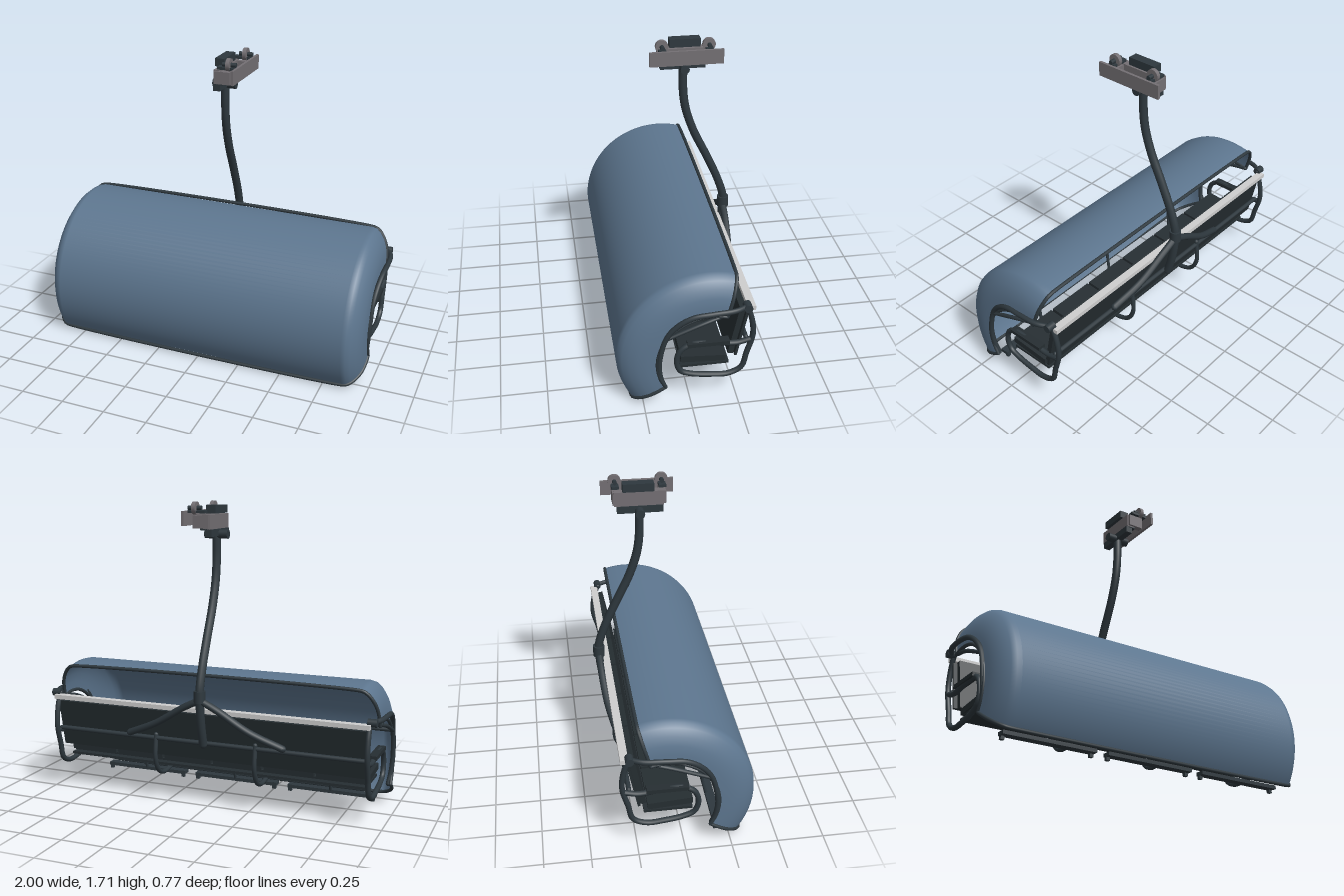
import * as THREE from 'three';

const mat = (name, color, side = THREE.FrontSide) => {
  const m = new THREE.MeshStandardMaterial({ color, side });
  m.name = name;
  return m;
};

export function createModel() {
  const root = new THREE.Group();
  root.name = 'chairlift';
  const blue = mat('bubble blue', 0x5d768f, THREE.DoubleSide);
  const steel = mat('dark steel', 0x2e383e);
  const pad = mat('seat black', 0x262e32);
  const grey = mat('grip grey', 0x747074);
  const light = mat('light trim', 0xcfcfcf);

  const add = (name, geo, m, parent = root) => {
    const mesh = new THREE.Mesh(geo, m);
    mesh.name = name;
    parent.add(mesh);
    return mesh;
  };
  const box = (name, size, pos, m, tilt = 0) => {
    const b = add(name, new THREE.BoxGeometry(...size), m);
    b.position.set(...pos);
    b.rotation.x = tilt;
    return b;
  };
  // Smooth round bar through points, with capped ends
  const tube = (name, pts, r, m = steel, closed = false) => {
    const v = pts.map(p => new THREE.Vector3(...p));
    const curve = new THREE.CatmullRomCurve3(v, closed, 'centripetal');
    const t = add(name, new THREE.TubeGeometry(curve, pts.length * 8, r, 10, closed), m);
    if (!closed) for (const p of [v[0], v[v.length - 1]]) {
      add(name + 'End', new THREE.SphereGeometry(r, 10, 6), m).position.copy(p);
    }
    return t;
  };
  const rod = (name, r, len, pos, m = steel, axis = 'x') => {
    const g = new THREE.CylinderGeometry(r, r, len, 20);
    if (axis === 'x') g.rotateZ(Math.PI / 2);
    if (axis === 'z') g.rotateX(Math.PI / 2);
    add(name, g, m).position.set(...pos);
  };
  // Side-on path given as [z, y] placed at one x
  const at = (x, path) => path.map(([z, y]) => [x, y, z]);

  // Bubble: partial revolve about a sideways axis
  const cy = 0.28, cz = -0.1, top = 106.6 * Math.PI / 180, bottom = -32.4 * Math.PI / 180;
  const half = [[0.28, 0.96], [0.33, 0.958], [0.38, 0.95], [0.425, 0.932], [0.46, 0.908], [0.479, 0.885], [0.485, 0.86]];
  const profile = [...half.map(([r, x]) => [r, -x]), ...half.slice().reverse()];
  const shell = new THREE.LatheGeometry(profile.map(([r, x]) => new THREE.Vector2(r, x)), 48, -top, top - bottom);
  shell.rotateZ(-Math.PI / 2);
  add('bubble', shell, blue).position.set(0, cy, cz);

  // Dark trim around the bubble edges
  const polar = (r, x, a) => [x, cy + r * Math.sin(a), cz + r * Math.cos(a)];
  for (const a of [top, bottom]) {
    tube('bubbleEdgeTrim', profile.map(([r, x]) => polar(r, x, a)), 0.01);
  }
  for (const s of [-1, 1]) {
    const arc = [];
    for (let i = 0; i <= 12; i++) arc.push(polar(0.28, s * 0.96, top + (bottom - top) * i / 12));
    tube('bubbleSideTrim', arc, 0.01);
  }

  // Six seat places
  for (let i = 0; i < 6; i++) {
    const x = (i - 2.5) * 0.305;
    box('seatPad', [0.29, 0.035, 0.24], [x, 0.25, -0.07], pad, -0.07);
    box('backrestPad', [0.29, 0.29, 0.03], [x, 0.41, -0.243], pad, -0.2);
  }
  box('seatBase', [1.8, 0.014, 0.26], [0, 0.205, -0.08], pad);
  box('seatPan', [1.8, 0.012, 0.22], [0, 0.23, -0.07], pad, -0.07);
  box('backrestBoard', [1.86, 0.28, 0.014], [0, 0.408, -0.265], pad, -0.2);
  box('backrestTopStrip', [1.88, 0.025, 0.042], [0, 0.572, -0.311], light);
  tube('backRail', [[-0.92, 0.38, -0.29], [0.92, 0.38, -0.29]], 0.013);

  for (const s of [-1, 1]) {
    // Side loop that carries seat, armrest and backrest
    tube('sideFrame', at(s * 0.93, [[-0.31, 0.37], [-0.24, 0.355], [-0.1, 0.37], [0, 0.37], [0.055, 0.335],
      [0.075, 0.27], [0.055, 0.205], [0, 0.178], [-0.1, 0.16], [-0.2, 0.155], [-0.27, 0.19],
      [-0.295, 0.28], [-0.325, 0.4], [-0.315, 0.5], [-0.285, 0.59]]), 0.015);
    box('armrest', [0.045, 0.022, 0.22], [s * 0.93, 0.375, -0.09], pad);
    // Under-seat support
    tube('seatSupport', at(s * 0.3, [[-0.29, 0.4], [-0.3, 0.26], [-0.265, 0.185], [-0.2, 0.153],
      [-0.1, 0.16], [0.03, 0.19]]), 0.013);
    // Splayed brace from the hanger
    tube('hangerBrace', [[0, 0.64, -0.355], [s * 0.1, 0.59, -0.352], [s * 0.28, 0.48, -0.335],
      [s * 0.46, 0.4, -0.3]], 0.02);
    // Swinging arm of the bubble and restraint bar
    tube('bubbleArm', [[s * 0.94, 0.59, -0.29], [s * 0.975, 0.592, -0.22], [s * 0.985, 0.59, -0.1],
      [s * 0.98, 0.575, 0], [s * 0.972, 0.525, 0.08], [s * 0.965, 0.45, 0.135],
      [s * 0.962, 0.3, 0.17], [s * 0.955, 0.2, 0.165], [s * 0.945, 0.13, 0.145]], 0.014);
    tube('bubbleArmBrace', [[s * 0.95, 0.555, -0.18], [s * 0.965, 0.52, -0.05], [s * 0.965, 0.45, 0.125]], 0.011);
    rod('armPivot', 0.022, 0.05, [s * 0.945, 0.59, -0.287]);
  }

  // Restraint bar with hanging ribs and footrests
  tube('restraintBar', [[-0.96, 0.45, 0.13], [0.96, 0.45, 0.13]], 0.012);
  for (const x of [-0.6, 0, 0.6]) {
    tube('footrestRib', at(x, [[0.13, 0.45], [0.165, 0.35], [0.17, 0.24], [0.16, 0.13], [0.185, 0.025]]), 0.009);
    box('footrest', [0.53, 0.02, 0.05], [x, 0.028, 0.2], steel);
    for (const s of [-1, 1]) box('footrestStop', [0.02, 0.04, 0.02], [x + s * 0.25, 0.02, 0.185], steel);
  }

  // Hanger
  tube('hanger', at(0, [[-0.11, 1.54], [-0.11, 1.4], [-0.125, 1.28], [-0.17, 1.14], [-0.25, 0.97],
    [-0.32, 0.81], [-0.355, 0.69], [-0.352, 0.6], [-0.335, 0.48], [-0.31, 0.38]]), 0.024);
  rod('hangerCollar', 0.033, 0.065, [0, 0.66, -0.355], steel, 'y');

  // Cable grip
  rod('gripPivot', 0.025, 0.135, [-0.002, 1.53, -0.11]);
  box('gripBase', [0.04, 0.04, 0.25], [0, 1.54, -0.105], steel);
  box('gripBody', [0.045, 0.08, 0.27], [0.007, 1.6, -0.11], grey);
  box('gripUnderside', [0.04, 0.02, 0.27], [0.02, 1.565, -0.11], steel);
  box('gripCap', [0.055, 0.045, 0.17], [-0.003, 1.667, -0.115], steel);
  box('gripPlate', [0.015, 0.08, 0.4], [0.117, 1.62, -0.108], grey);
  for (const z of [0.02, -0.235]) {
    box('rollerArm', [0.09, 0.07, 0.035], [0.037, 1.6, z], grey);
    box('rollerBracket', [0.1, 0.015, 0.04], [0.06, 1.655, z], steel);
    rod('roller', 0.035, 0.022, [0.073, 1.675, z], grey);
    rod('rollerAxle', 0.012, 0.08, [0.075, 1.675, z]);
  }
  return root;
}
